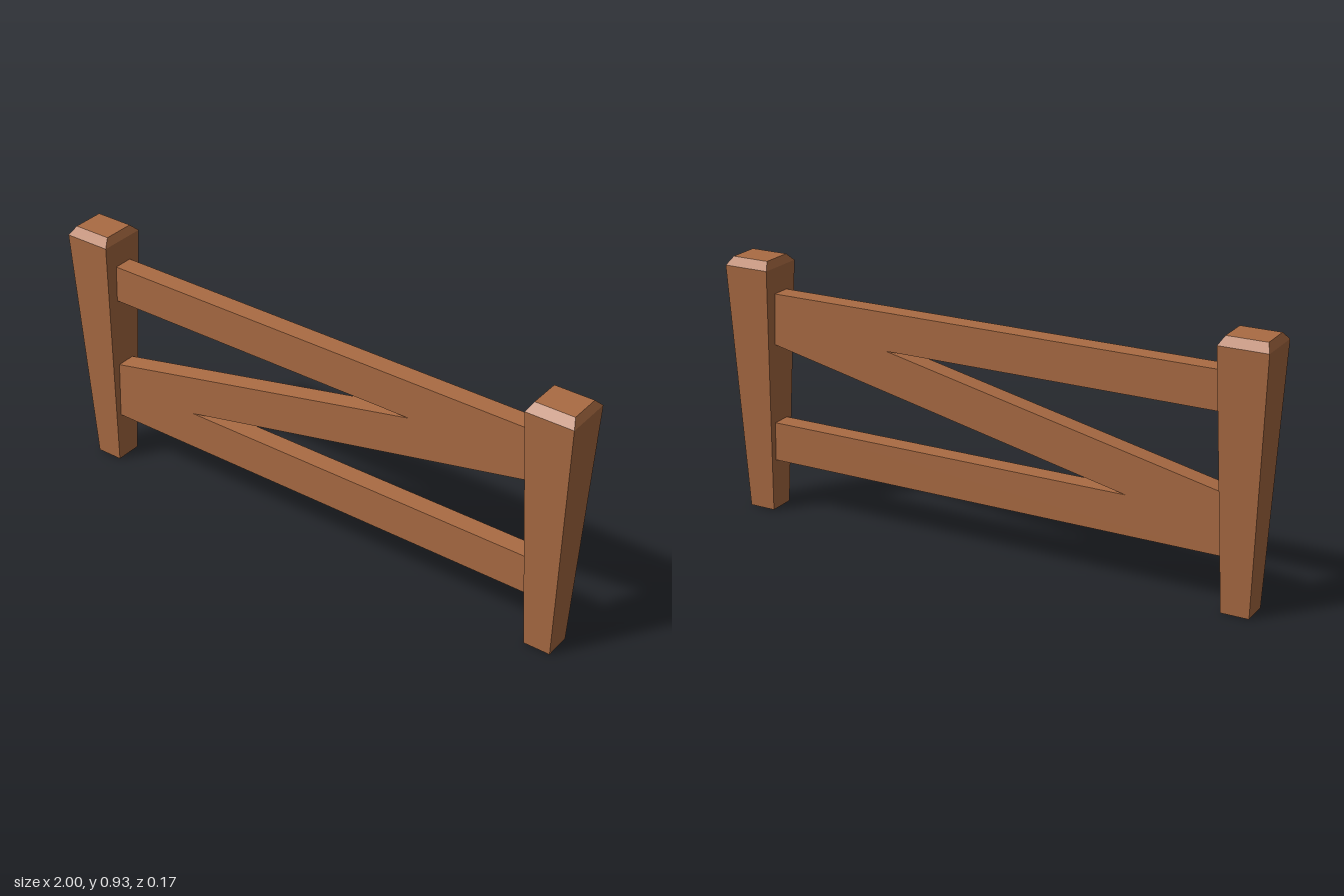
import * as THREE from 'three';

// Box standing on y = 0 whose top and bottom have different sizes
function taperedBox(bottom, top, height) {
  const g = new THREE.BoxGeometry(1, height, 1).translate(0, height / 2, 0);
  const p = g.attributes.position;
  for (let i = 0; i < p.count; i++) {
    const [w, d] = p.getY(i) > height / 2 ? top : bottom;
    p.setX(i, p.getX(i) * w);
    p.setZ(i, p.getZ(i) * d);
  }
  g.computeVertexNormals();
  return g;
}

export function createModel() {
  const model = new THREE.Group();
  model.name = 'woodenFence';
  const wood = new THREE.MeshStandardMaterial({ color: 0xaa6b43 });
  wood.name = 'wood';

  const add = (parent, name, geometry) => {
    const mesh = new THREE.Mesh(geometry, wood);
    mesh.name = name;
    parent.add(mesh);
    return mesh;
  };

  // Posts widen upward and end in a chamfered cap
  for (const side of [-1, 1]) {
    const post = new THREE.Group();
    post.name = side > 0 ? 'leftPost' : 'rightPost';
    post.position.x = side * 0.915;
    add(post, 'postShaft', taperedBox([0.098, 0.098], [0.17, 0.17], 0.903));
    add(post, 'postCap', taperedBox([0.17, 0.17], [0.14, 0.114], 0.027)).position.y = 0.903;
    model.add(post);
  }

  // Top rail, diagonal brace and bottom rail joined in one Z outline
  const outline = new THREE.Shape([
    [-0.87, 0.19], [0.87, 0.19], [0.87, 0.332], [-0.515, 0.332],
    [0.87, 0.631], [0.87, 0.81], [-0.87, 0.81], [-0.87, 0.674],
    [0.385, 0.674], [-0.87, 0.403],
  ].map(([x, y]) => new THREE.Vector2(x, y)));
  const rails = new THREE.ExtrudeGeometry(outline, { depth: 0.07, bevelEnabled: false });
  add(model, 'railsAndBrace', rails.translate(0, 0, -0.035));

  return model;
}
